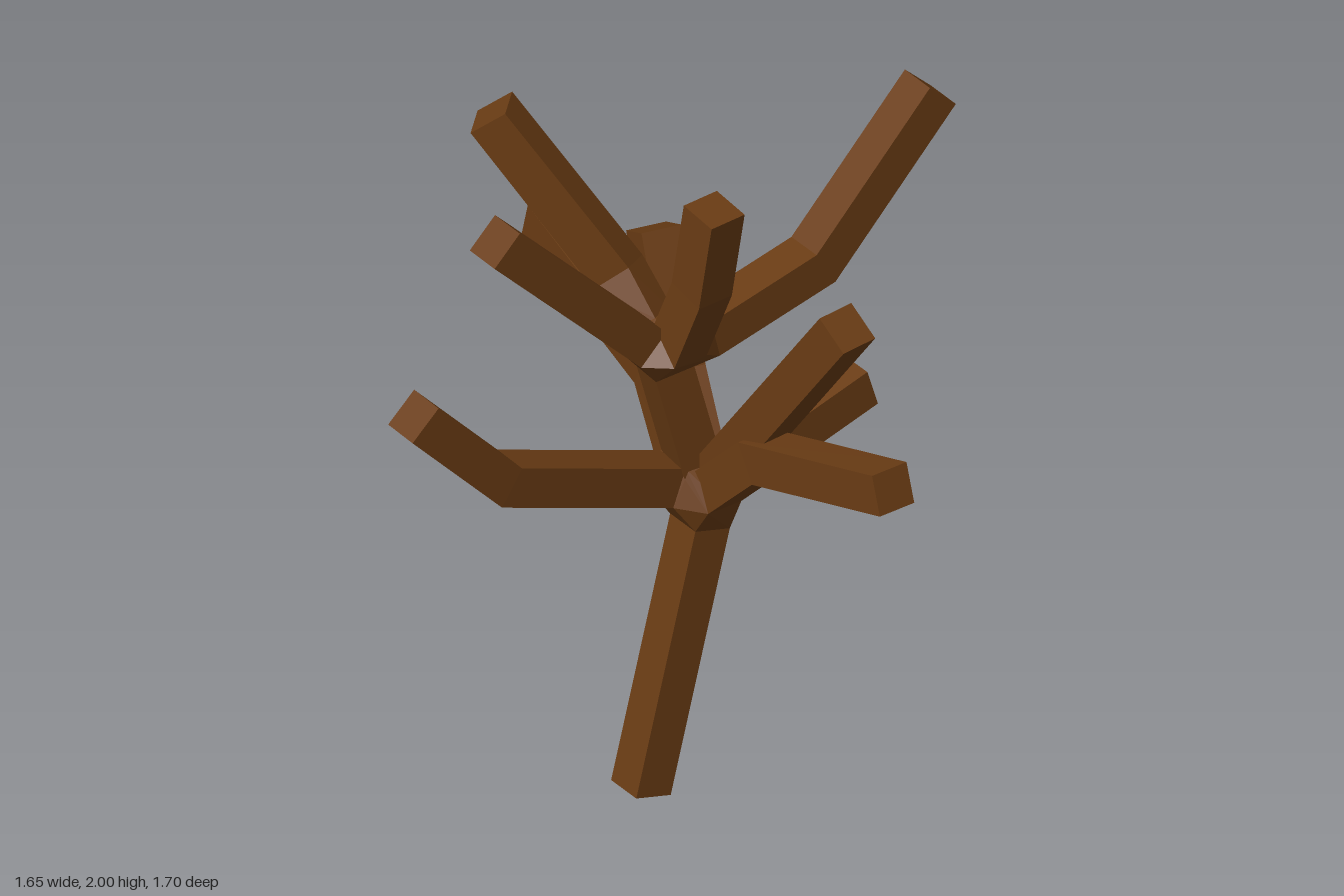
import * as THREE from 'three';
import { ConvexGeometry } from 'three/addons/geometries/ConvexGeometry.js';

const HALF = 0.058; // half the side of the square section
const V = (p) => new THREE.Vector3(...p);

// Square rings along a path, mitred at the bends
function squareRings(path) {
  const pts = path.map(V);
  const n = pts.length;
  const dirs = pts.slice(1).map((p, i) => p.clone().sub(pts[i]).normalize());
  const last = dirs[n - 2];
  const level = new THREE.Vector3(-last.z, 0, last.x).normalize();
  return pts.map((p, i) => {
    const a = dirs[Math.max(i - 1, 0)], b = dirs[Math.min(i, n - 2)];
    const t = a.clone().add(b).normalize();
    const side = level.clone().addScaledVector(t, -level.dot(t)).normalize();
    const up = side.clone().cross(t);
    const k = HALF / Math.max(t.dot(a), 0.7); // keeps width through the mitre
    return [[-1, -1], [1, -1], [1, 1], [-1, 1]].map(([u, v]) =>
      p.clone().addScaledVector(side, u * HALF).addScaledVector(up, v * k));
  });
}

// Closed square bar through the rings
function barGeometry(rings) {
  const pos = [];
  const quad = (a, b, c, d) => [a, b, c, a, c, d].forEach((p) => pos.push(p.x, p.y, p.z));
  for (let i = 0; i < rings.length - 1; i++) {
    for (let j = 0; j < 4; j++) {
      const k = (j + 1) % 4;
      quad(rings[i][j], rings[i + 1][j], rings[i + 1][k], rings[i][k]);
    }
  }
  const s = rings[0], e = rings[rings.length - 1];
  quad(s[0], s[1], s[2], s[3]);
  quad(e[3], e[2], e[1], e[0]);
  const g = new THREE.BufferGeometry();
  g.setAttribute('position', new THREE.Float32BufferAttribute(pos, 3));
  g.computeVertexNormals();
  return g;
}

export function createModel() {
  const group = new THREE.Group();
  const bark = new THREE.MeshStandardMaterial({ color: 0x6a3c14, flatShading: true, side: THREE.DoubleSide });

  const add = (name, geometry) => {
    const mesh = new THREE.Mesh(geometry, bark);
    mesh.name = name;
    group.add(mesh);
  };
  const bar = (name, path) => {
    const rings = squareRings(path);
    add(name, barGeometry(rings));
    return rings;
  };
  const first = (r) => r[0];
  const end = (r) => r[r.length - 1];

  // Leaning trunk and the stem above the lower fork
  const trunk = bar('trunk', [[-0.055, 0.015, 0.105], [0, 0.78, -0.08]]);
  const stem = bar('upperStem', [[-0.015, 0.97, -0.07], [-0.05, 1.3, 0.01]]);

  // Branches of the lower fork
  const lower = [
    ['frontBranch', [[-0.05, 0.93, 0], [-0.2, 1.13, 0.53], [-0.285, 1.42, 0.795]]],
    ['leftLowBranch', [[0.06, 0.91, -0.07], [0.24, 1.09, -0.04], [0.795, 1.265, 0.1]]],
    ['rightLowBranch', [[-0.06, 0.93, -0.1], [-0.24, 1.11, -0.21], [-0.79, 1.28, -0.41]]],
    ['backLowBranch', [[0.025, 0.9, -0.15], [0.15, 1.04, -0.58]]],
    ['leftHighBranch', [[0.06, 0.95, -0.09], [0.55, 1.62, -0.015]]],
    ['backRightBranch', [[-0.04, 0.96, -0.12], [-0.16, 1.14, -0.19], [-0.305, 1.49, -0.27]]],
  ].map(([name, path]) => bar(name, path));

  // Branches of the upper fork
  const upper = [
    ['backHighBranch', [[0.01, 1.38, -0.08], [0.11, 1.47, -0.43], [0.22, 1.875, -0.795]]],
    ['frontHighBranch', [[-0.065, 1.4, 0.09], [-0.205, 1.875, 0.545]]],
    ['rightHighBranch', [[-0.1, 1.39, 0.01], [-0.23, 1.5, -0.02], [-0.53, 1.965, 0.145]]],
    ['topBranch', [[0.01, 1.38, 0.03], [0.1, 1.6, 0.04], [0.15, 1.87, 0.05]]],
  ].map(([name, path]) => bar(name, path));

  // Faceted joints that bind each fork together
  add('lowerFork', new ConvexGeometry([end(trunk), first(stem), ...lower.map(first)].flat()));
  add('upperFork', new ConvexGeometry([end(stem), ...upper.map(first)].flat()));

  return group;
}
